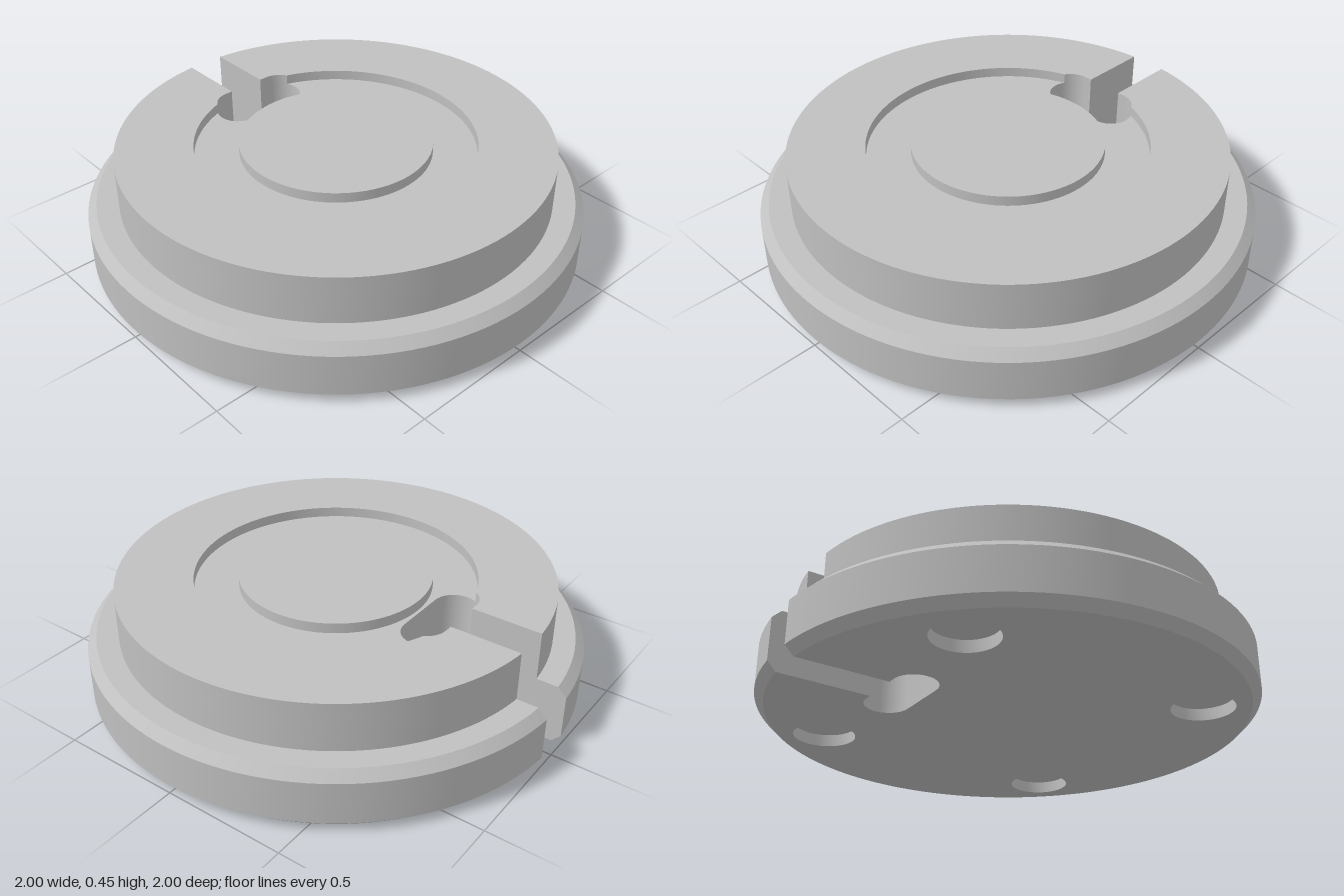
import * as THREE from 'three';
import { toCreasedNormals } from 'three/addons/utils/BufferGeometryUtils.js';

const SLOT = 0.078;                                  // half width of the slot
const OVAL = { x: -0.49, z: 0.11, r: 0.09 };         // oblong opening at the slot's end
const BODY_R = 0.875, RECESS_R = 0.565, BOSS_R = 0.387;
const FLOOR = 0.408, TOP = 0.45;
const CREASE = 0.5;

// Points on an arc from angle a to angle b
function arc(cx, cy, r, a, b, n) {
  return Array.from({ length: n + 1 }, (_, i) => {
    const t = a + (b - a) * i / n;
    return new THREE.Vector2(cx + r * Math.cos(t), cy + r * Math.sin(t));
  });
}

// Outer circle, open at the slot
function rim(r) {
  const a = Math.PI - Math.asin(SLOT / r);
  return arc(0, 0, r, -a, a, 128);
}

const slotCorner = (side) => new THREE.Vector2(OVAL.x - OVAL.r, side * SLOT);

// Full disc outline with the slot and oblong opening
function discOutline(r) {
  return [
    ...rim(r), slotCorner(1),
    ...arc(OVAL.x, OVAL.z, OVAL.r, Math.PI, 0, 20),
    ...arc(OVAL.x, -OVAL.z, OVAL.r, 0, -Math.PI, 20),
    slotCorner(-1),
  ];
}

// Raised ring outline, where the recess breaks into the opening
function ringOutline() {
  const meet = 2.06, inner = Math.PI - 0.341;
  return [
    ...rim(BODY_R), slotCorner(1),
    ...arc(OVAL.x, OVAL.z, OVAL.r, Math.PI, meet, 8),
    ...arc(0, 0, RECESS_R, inner, -inner, 96).slice(1, -1),
    ...arc(OVAL.x, -OVAL.z, OVAL.r, -meet, -Math.PI, 8),
    slotCorner(-1),
  ];
}

// Walls joining the disc outline at successive [radius, height] levels
function wallGeometry(levels) {
  const pos = [];
  for (let k = 0; k < levels.length - 1; k++) {
    const [[r0, y0], [r1, y1]] = [levels[k], levels[k + 1]];
    const lo = discOutline(r0), up = discOutline(r1);
    for (let i = 0; i < lo.length; i++) {
      const j = (i + 1) % lo.length;
      const a = [lo[i].x, y0, -lo[i].y], b = [lo[j].x, y0, -lo[j].y];
      const c = [up[j].x, y1, -up[j].y], d = [up[i].x, y1, -up[i].y];
      pos.push(...a, ...b, ...c, ...a, ...c, ...d);
    }
  }
  const g = new THREE.BufferGeometry();
  g.setAttribute('position', new THREE.Float32BufferAttribute(pos, 3));
  return toCreasedNormals(g, CREASE);
}

export function createModel() {
  const group = new THREE.Group();
  group.name = 'slottedDisc';
  const metal = new THREE.MeshStandardMaterial({ color: 0xc0c0c0 });
  metal.name = 'plain grey metal';

  function add(name, geometry, y = 0) {
    const mesh = new THREE.Mesh(geometry, metal);
    mesh.name = name;
    mesh.position.y = y;
    group.add(mesh);
    return mesh;
  }

  // Chamfered flange stepping in to the upper body, with the slot walls
  add('bodyWall', wallGeometry([
    [0.963, 0], [1, 0.037], [1, 0.213], [0.963, 0.25], [BODY_R, 0.25], [BODY_R, FLOOR],
  ]));

  // Floor of the annular recess
  add('recessFloor', new THREE.ShapeGeometry(new THREE.Shape(discOutline(BODY_R))).rotateX(-Math.PI / 2), FLOOR);

  // Raised outer ring
  const ring = new THREE.ExtrudeGeometry(new THREE.Shape(ringOutline()), { depth: TOP - FLOOR, bevelEnabled: false });
  add('raisedRing', toCreasedNormals(ring.rotateX(-Math.PI / 2), CREASE), FLOOR);

  // Central boss, level with the ring
  add('centreBoss', new THREE.CylinderGeometry(BOSS_R, BOSS_R, TOP - FLOOR, 96), (TOP + FLOOR) / 2);

  // Underside with four blind holes
  const HOLE_R = 0.127, HOLE_DEPTH = 0.05, OFFSET = 0.547;
  const under = new THREE.Shape(discOutline(0.963));
  const cup = toCreasedNormals(new THREE.LatheGeometry([
    new THREE.Vector2(0, HOLE_DEPTH), new THREE.Vector2(HOLE_R, HOLE_DEPTH), new THREE.Vector2(HOLE_R, 0),
  ], 48), CREASE);
  for (const sx of [-1, 1]) for (const sz of [-1, 1]) {
    under.holes.push(new THREE.Path(arc(sx * OFFSET, sz * OFFSET, HOLE_R, 0, -Math.PI * 2, 48).slice(0, -1)));
    add('blindHole', cup).position.set(sx * OFFSET, 0, sz * OFFSET);
  }
  add('underside', new THREE.ShapeGeometry(under).rotateX(Math.PI / 2));

  return group;
}
